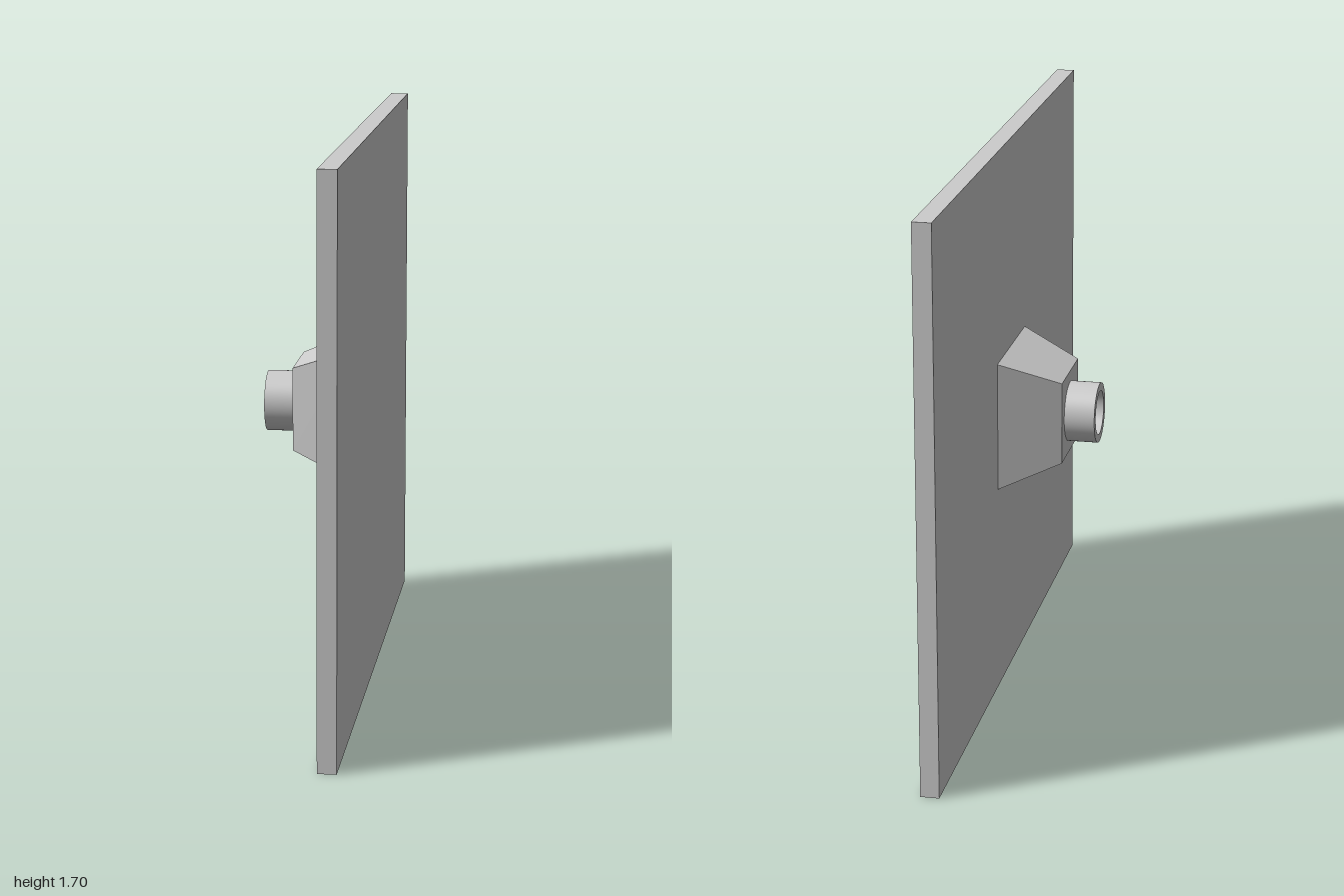
import * as THREE from 'three';

const CENTRE_Y = 0.85;

export function createModel() {
  const group = new THREE.Group();
  const smooth = new THREE.MeshStandardMaterial({ color: 0xcccccc });
  const flat = new THREE.MeshStandardMaterial({ color: 0xcccccc, flatShading: true });

  const add = (name, geometry, material, x) => {
    const mesh = new THREE.Mesh(geometry, material);
    mesh.name = name;
    mesh.position.set(x, CENTRE_Y, 0);
    group.add(mesh);
  };

  // Large upright slab
  add('panel', new THREE.BoxGeometry(0.056, 1.7, 2), flat, 0.138);

  // Square boss that narrows away from the panel
  const boss = new THREE.BoxGeometry(0.184, 0.4, 0.4);
  const p = boss.attributes.position;
  for (let i = 0; i < p.count; i++) {
    if (p.getX(i) < 0) p.setXYZ(i, p.getX(i), p.getY(i) * 0.64, p.getZ(i) * 0.64);
  }
  add('taperedBoss', boss, flat, 0.018);

  // Hollow round socket, open outward, with the boss face as its floor
  const ring = new THREE.Shape().absarc(0, 0, 0.093, 0, Math.PI * 2);
  ring.holes.push(new THREE.Path().absarc(0, 0, 0.068, 0, Math.PI * 2, true));
  const socket = new THREE.ExtrudeGeometry(ring, { depth: 0.093, bevelEnabled: false, curveSegments: 48 });
  socket.rotateY(-Math.PI / 2);

  // Smooth the round walls by pointing their normals radially
  const sp = socket.attributes.position;
  const sn = socket.attributes.normal;
  for (let i = 0; i < sp.count; i++) {
    if (Math.abs(sn.getX(i)) > 0.5) continue;
    const y = sp.getY(i), z = sp.getZ(i), r = Math.hypot(y, z);
    const sign = r > 0.08 ? 1 : -1;
    sn.setXYZ(i, 0, (sign * y) / r, (sign * z) / r);
  }
  add('socket', socket, smooth, -0.074);

  return group;
}
